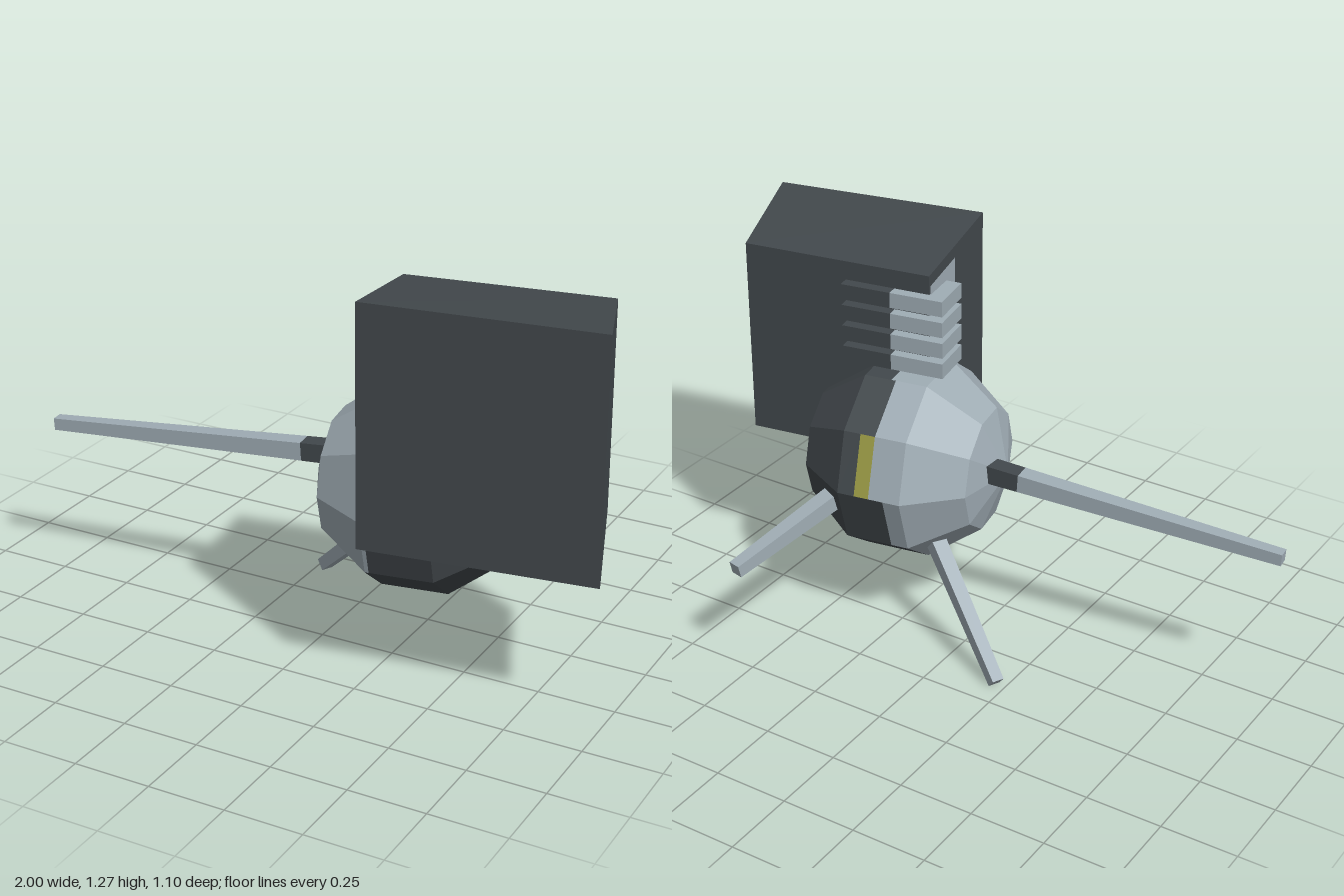
import * as THREE from 'three';

const V = (x, y, z) => new THREE.Vector3(x, y, z);

export function createModel() {
  const model = new THREE.Group();
  const mat = (name, color) => {
    const m = new THREE.MeshStandardMaterial({ color });
    m.name = name;
    return m;
  };
  const light = mat('light grey', 0xa0adb5);
  const dark = mat('dark slate', 0x42484c);
  const olive = mat('olive', 0x9c9c46);

  const add = (parent, name, geo, material) => {
    const flat = geo.index ? geo.toNonIndexed() : geo;
    flat.computeVertexNormals();
    const mesh = new THREE.Mesh(flat, material);
    mesh.name = name;
    parent.add(mesh);
    return mesh;
  };

  const TURN = 0.172; // yaw shared by ball and slats

  // Faceted ball: ten sides, five bands, poles along x
  const ball = new THREE.Group();
  ball.name = 'ball';
  ball.position.set(0.306, 0.56, 0.142);
  ball.rotation.y = TURN;
  model.add(ball);
  const R = 0.348, SIDE = Math.PI / 5;
  const ring = (i) => [R * Math.sin(i * SIDE), -R * Math.cos(i * SIDE)];
  const ring72 = [R * Math.sin(0.4 * Math.PI), R * Math.cos(0.4 * Math.PI)];
  const ring36 = [R * Math.sin(0.2 * Math.PI), R * Math.cos(0.2 * Math.PI)];
  const lathe = (pts, start = 0, n = 10) => new THREE.LatheGeometry(
    pts.map(([r, h]) => new THREE.Vector2(r, h)), n, start * SIDE, n * SIDE).rotateZ(Math.PI / 2);
  add(ball, 'lightCap', lathe([ring72, ring36, [0, R]]), light);
  add(ball, 'darkCap', lathe([[0, -R], [ring36[0], -ring36[1]], [ring72[0], -ring72[1]]]), dark);

  // Middle band: each facet is divided where the paint changes
  const H = ring72[1], r = ring72[0];
  const split = [0.095, 0.05, -0.015, 0, 0, 0.05, H, H, H, 0.095];
  split.forEach((s, k) => {
    const low = k === 4 ? -0.05 : s;
    add(ball, 'bandDark', lathe([[r, -H], [r, low]], k, 1), dark);
    if (low < s) add(ball, 'bandPatch', lathe([[r, low], [r, s]], k, 1), olive);
    if (s < H) add(ball, 'bandLight', lathe([[r, s], [r, H]], k, 1), light);
  });

  // Tapered case: box corners moved onto a slanted frustum
  const corner = (sx, sy, sz) => {
    const p = sz > 0 ? (sx > 0 ? [1, 0.42] : [0.28, 0.545]) : (sx > 0 ? [0.86, 0.03] : [0.22, 0.135]);
    const y = sz > 0 ? (sy > 0 ? 1.27 : 0.5) : (sy > 0 ? 1.22 : 0.55);
    return V(p[0], y + (sz > 0 ? -0.005 * sx : 0), p[1]);
  };
  const caseGeo = new THREE.BoxGeometry(2, 2, 2);
  const pos = caseGeo.attributes.position;
  for (let i = 0; i < pos.count; i++) {
    const c = corner(pos.getX(i), pos.getY(i), pos.getZ(i));
    pos.setXYZ(i, c.x, c.y, c.z);
  }
  add(model, 'case', caseGeo, dark);

  // Thin pale panel on the rear half of the case's side
  const onSide = (u, v) => {
    const bottom = corner(-1, -1, -1).lerp(corner(-1, -1, 1), u);
    const top = corner(-1, 1, -1).lerp(corner(-1, 1, 1), u);
    return bottom.lerp(top, v).add(V(-0.004, 0, 0));
  };
  const [a, b, c, d] = [onSide(0, 0.2), onSide(0.45, 0.2), onSide(0.45, 0.95), onSide(0, 0.95)];
  add(model, 'sidePanel', new THREE.BufferGeometry().setFromPoints([a, b, c, a, c, d]), light);

  // Four stacked slats gripping the rear corner of the case
  for (let i = 0; i < 4; i++) {
    const slat = new THREE.Group();
    slat.name = 'slat';
    slat.position.set(0.342, 0.913 + i * 0.0725, 0.157);
    slat.rotation.y = TURN;
    model.add(slat);
    add(slat, 'slatLight', new THREE.BoxGeometry(0.18, 0.052, 0.155).translate(-0.085, 0, 0), light);
    add(slat, 'slatDark', new THREE.BoxGeometry(0.17, 0.052, 0.155).translate(0.09, 0, 0), dark);
  }

  // Square tapered rods from the ball
  const rod = (name, from, to, w0, w1, material) => {
    const dir = to.clone().sub(from);
    const len = dir.length();
    const geo = new THREE.CylinderGeometry(w1 * Math.SQRT1_2, w0 * Math.SQRT1_2, len, 4, 1)
      .rotateY(Math.PI / 4).translate(0, len / 2, 0).rotateX(Math.PI / 2);
    const mesh = add(model, name, geo, material);
    mesh.position.copy(from);
    mesh.lookAt(to);
    return mesh;
  };
  rod('longRodBase', V(0.06, 0.597, 0.125), V(-0.12, 0.587, 0.145), 0.064, 0.06, dark);
  rod('longRod', V(-0.12, 0.587, 0.145), V(-0.998, 0.536, 0.247), 0.06, 0.04, light);
  rod('lowerRod', V(0.14, 0.37, 0.02), V(-0.223, 0.019, -0.164), 0.052, 0.04, light);
  rod('rearRod', V(0.41, 0.5, -0.12), V(0.51, 0.4, -0.545), 0.058, 0.043, light);

  return model;
}
